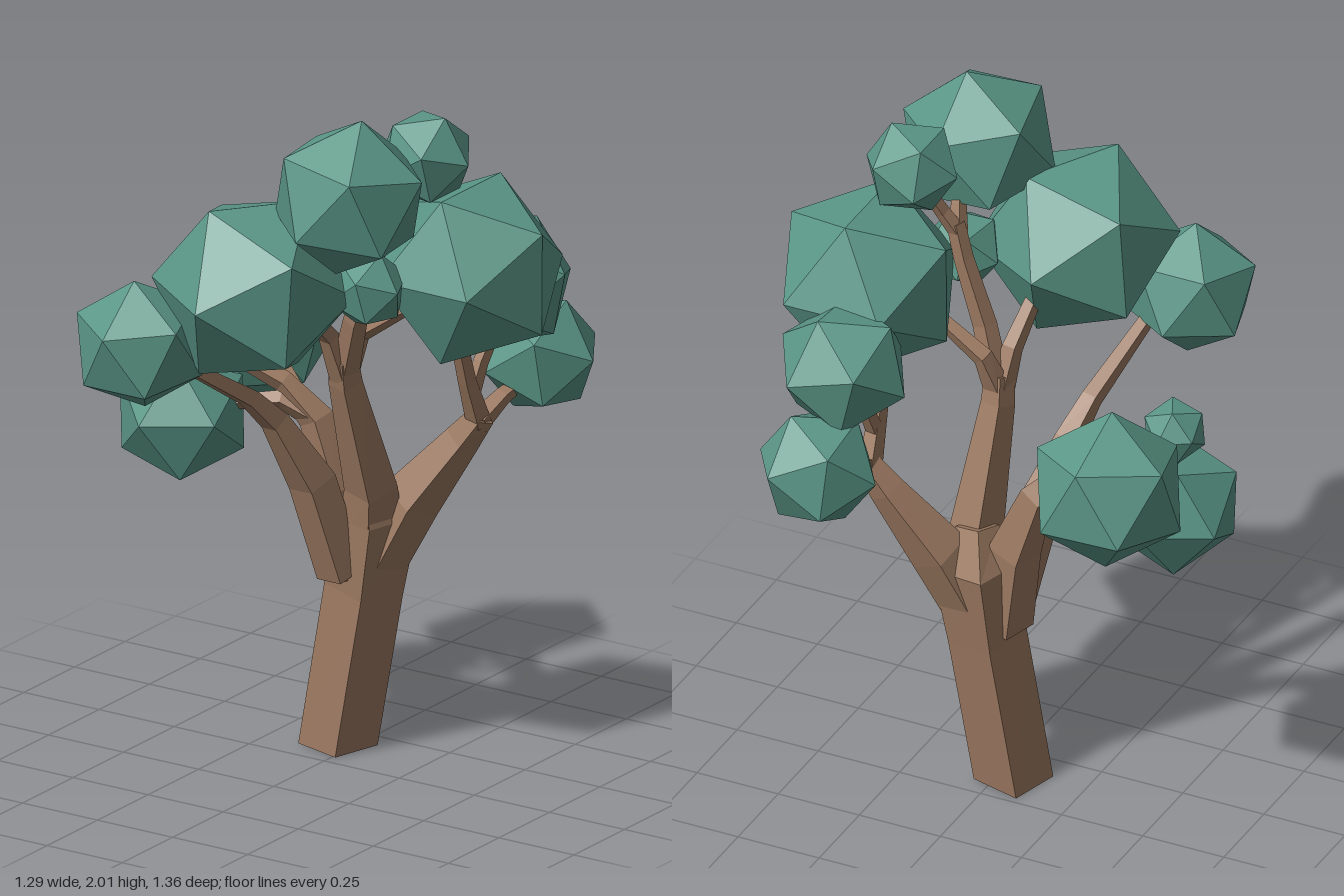
import * as THREE from 'three';

const bark = new THREE.MeshStandardMaterial({ color: 0x9a7860, flatShading: true });
const leaf = new THREE.MeshStandardMaterial({ color: 0x5a9686, flatShading: true });
const V = (a) => new THREE.Vector3(a[0], a[1], a[2]);

// Four-sided tapering limb through points [x, y, z, radius], capped at both ends
function limb(name, pts) {
  const c = pts.map(V), pos = [];
  const u = new THREE.Vector3(0.5, 0, 0.87);
  const rings = pts.map((p, i) => {
    const t = c[Math.min(i + 1, c.length - 1)].clone().sub(c[Math.max(i - 1, 0)]).normalize();
    if (p[1] === 0) t.set(0, 1, 0); // flat foot on the ground
    u.addScaledVector(t, -u.dot(t)).normalize();
    const v = t.clone().cross(u);
    return [0, 1, 2, 3].map((k) => c[i].clone()
      .addScaledVector(u, p[3] * Math.cos(k * Math.PI / 2))
      .addScaledVector(v, p[3] * Math.sin(k * Math.PI / 2)));
  });
  const quad = (a, b, d, e) => [a, b, d, a, d, e].forEach((q) => pos.push(q.x, q.y, q.z));
  for (let i = 0; i < rings.length - 1; i++) {
    for (let k = 0; k < 4; k++) {
      const n = (k + 1) % 4;
      quad(rings[i][k], rings[i][n], rings[i + 1][n], rings[i + 1][k]);
    }
  }
  const s = rings[0], e = rings[rings.length - 1];
  quad(s[3], s[2], s[1], s[0]);
  quad(e[0], e[1], e[2], e[3]);
  const g = new THREE.BufferGeometry();
  g.setAttribute('position', new THREE.Float32BufferAttribute(pos, 3));
  g.computeVertexNormals();
  const m = new THREE.Mesh(g, bark);
  m.name = name;
  return m;
}

// Orthonormal basis from one direction and a second one near it
function basis(a, b) {
  const x = a.clone().normalize();
  const y = b.clone().addScaledVector(x, -b.dot(x)).normalize();
  return new THREE.Matrix4().makeBasis(x, y, x.clone().cross(y));
}

// Icosahedron with one corner pointing along a and a neighbouring corner towards b
const phi = (1 + Math.sqrt(5)) / 2;
const home = basis(new THREE.Vector3(0, 1, phi), new THREE.Vector3(0, -1, phi)).transpose();
function clump(center, r, a, b) {
  const g = new THREE.IcosahedronGeometry(r, 0);
  g.applyMatrix4(basis(V(a), V(b)).multiply(home));
  const m = new THREE.Mesh(g, leaf);
  m.position.set(...center);
  m.name = 'leafClump';
  return m;
}

export function createModel() {
  const tree = new THREE.Group();
  tree.name = 'tree';

  const wood = new THREE.Group();
  wood.name = 'wood';
  const limbs = {
    trunk: [[-0.045, 0, -0.135, 0.11], [0.02, 0.46, -0.165, 0.11], [0.045, 0.69, -0.175, 0.128], [0.06, 0.8, -0.15, 0.06]],
    // middle limb and its forks
    middleLimb: [[0.045, 0.6, -0.16, 0.1], [0.075, 0.78, -0.12, 0.075], [0.065, 1.12, -0.01, 0.048], [0.07, 1.2, 0.01, 0.042]],
    middleFrontTwig: [[0.065, 1.14, 0, 0.04], [0.05, 1.27, 0.05, 0.03], [0.03, 1.4, 0.17, 0.022]],
    middleSideTwig: [[0.07, 1.16, 0, 0.04], [0.1, 1.27, -0.03, 0.03], [0.25, 1.37, -0.03, 0.022]],
    crownLimb: [[0.07, 1.16, 0, 0.04], [0.13, 1.33, 0.04, 0.034], [0.2, 1.52, 0.05, 0.028], [0.23, 1.62, 0.06, 0.026]],
    crownFrontTwig: [[0.22, 1.59, 0.06, 0.026], [0.24, 1.66, 0.1, 0.022], [0.25, 1.72, 0.15, 0.018]],
    crownBackTwig: [[0.22, 1.59, 0.06, 0.026], [0.26, 1.66, 0.04, 0.022], [0.3, 1.76, 0, 0.018]],
    // right limb and its forks
    rightLimb: [[-0.02, 0.5, -0.14, 0.08], [-0.055, 0.75, -0.15, 0.075], [-0.12, 0.94, -0.14, 0.05], [-0.21, 1.04, -0.11, 0.032], [-0.42, 1.15, -0.03, 0.02]],
    rightLowTwig: [[-0.13, 0.95, -0.135, 0.04], [-0.21, 0.99, -0.1, 0.028], [-0.36, 0.97, -0.04, 0.02]],
    rightBackTwig: [[-0.17, 1.0, -0.12, 0.03], [-0.24, 1.05, -0.16, 0.025], [-0.33, 1.1, -0.23, 0.02]],
    // front limb
    frontLimb: [[-0.01, 0.52, -0.1, 0.07], [-0.06, 0.8, -0.03, 0.068], [-0.11, 1.0, 0.08, 0.042], [-0.135, 1.09, 0.17, 0.032], [-0.2, 1.25, 0.41, 0.022]],
    // left limb and its forks
    leftLimb: [[0.06, 0.55, -0.18, 0.08], [0.14, 0.73, -0.22, 0.085], [0.28, 0.92, -0.265, 0.052], [0.34, 1.0, -0.275, 0.038]],
    leftUpperTwig: [[0.33, 0.98, -0.275, 0.036], [0.335, 1.12, -0.21, 0.026], [0.345, 1.3, -0.14, 0.022]],
    leftMiddleTwig: [[0.335, 1.08, -0.23, 0.026], [0.34, 1.16, -0.27, 0.022], [0.35, 1.26, -0.34, 0.018]],
    leftBackTwig: [[0.33, 0.98, -0.27, 0.036], [0.345, 1.03, -0.37, 0.026], [0.36, 1.06, -0.46, 0.02]],
  };
  for (const [name, pts] of Object.entries(limbs)) wood.add(limb(name, pts));
  tree.add(wood);

  // Leaf clumps: centre, radius, corner direction, neighbouring corner direction
  const foliage = new THREE.Group();
  foliage.name = 'foliage';
  [
    [[0.25, 1.78, 0.25], 0.228, [0.03, 0.225, -0.02], [0.21, 0.1, -0.05]],
    [[-0.01, 1.49, 0.335], 0.285, [-0.01, 0, 1], [-0.065, 0.255, 0.13]],
    [[0.41, 1.495, -0.115], 0.28, [0.23, 0.14, 0], [0.23, -0.14, 0]],
    [[-0.285, 1.315, 0.49], 0.194, [0, 0.06, 0.18], [0, 0.18, 0.03]],
    [[-0.47, 0.935, 0.005], 0.2, [-0.01, 0.01, 0.19], [0.04, 0.18, 0.08]],
    [[-0.48, 1.18, -0.01], 0.094, [-0.01, 0, 0.09], [0.03, 0.08, 0.04]],
    [[-0.41, 1.12, -0.28], 0.23, [0.01, 0.22, 0.04], [0.01, 0.08, -0.2]],
    [[0.365, 1.115, -0.525], 0.178, [0.17, 0.01, 0], [0.07, 0.18, -0.03]],
    [[0.355, 1.37, -0.385], 0.195, [0.18, 0.05, 0], [0, 0.17, -0.08]],
    [[0.32, 1.83, -0.03], 0.14, [0.14, 0, 0], [0.06, 0.13, 0]],
    [[0.25, 1.485, 0.155], 0.117, [0.1, 0.01, 0.02], [0.04, 0.1, 0]],
  ].forEach((c) => foliage.add(clump(...c)));
  tree.add(foliage);
  return tree;
}
